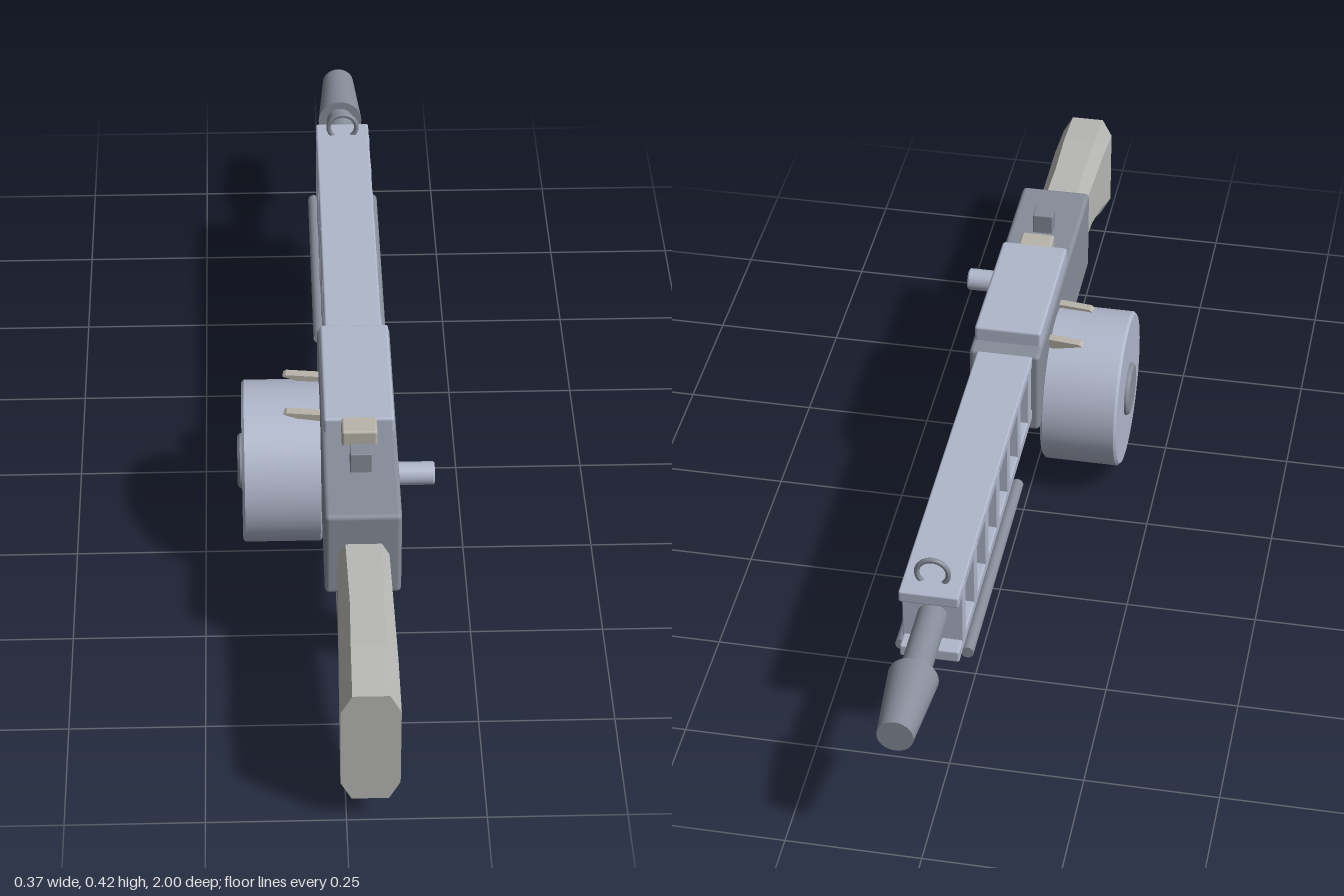
import * as THREE from 'three';
import { RoundedBoxGeometry } from 'three/addons/geometries/RoundedBoxGeometry.js';

const CX = 0.042; // centre line of the body

export function createModel() {
  const model = new THREE.Group();
  const mat = (name, color, extra = {}) => {
    const m = new THREE.MeshStandardMaterial({ color, ...extra });
    m.name = name;
    return m;
  };
  const light = mat('light steel', 0xb0b7cb);
  const dark = mat('dark steel', 0x868c99);
  const grey = mat('stock grey', 0xb8b8b6, { flatShading: true });
  const warm = mat('warm grey', 0xb8b4aa);

  const add = (name, geo, material, x, y, z) => {
    const m = new THREE.Mesh(geo, material);
    m.name = name;
    m.position.set(x, y, z);
    model.add(m);
    return m;
  };
  // Box given by its limits on each axis
  const box = (name, material, x0, x1, y0, y1, z0, z1, r = 0.004) =>
    add(name, new RoundedBoxGeometry(x1 - x0, y1 - y0, z1 - z0, 2, r), material,
      (x0 + x1) / 2, (y0 + y1) / 2, (z0 + z1) / 2);
  // Cylinder lying along z
  const rodZ = (name, material, rFront, rBack, x, y, z0, z1, seg = 32) =>
    add(name, new THREE.CylinderGeometry(rFront, rBack, z1 - z0, seg).rotateX(Math.PI / 2),
      material, x, y, (z0 + z1) / 2);
  // Cylinder along x with a small bevel at both rims
  const discX = (name, material, r, x0, x1, y, z, b = 0.005) => {
    const h = x1 - x0;
    const rings = [[[0, 0], [r - b, 0]], [[r - b, 0], [r, b]], [[r, b], [r, h - b]],
      [[r, h - b], [r - b, h]], [[r - b, h], [0, h]]];
    for (const p of rings) {
      const g = new THREE.LatheGeometry(p.map(q => new THREE.Vector2(...q)), 48);
      add(name, g.rotateZ(-Math.PI / 2), material, x0, y, z);
    }
  };

  // Receiver, top cover and sights
  box('receiver', dark, CX - 0.07, CX + 0.07, 0.188, 0.369, 0.02, 0.604, 0.009);
  box('topCover', light, CX - 0.066, CX + 0.066, 0.36, 0.4, 0.055, 0.355, 0.006);
  box('coverLatch', warm, CX - 0.033, CX + 0.033, 0.365, 0.4, 0.345, 0.395, 0.005);
  box('rearSight', dark, CX - 0.02, CX + 0.02, 0.36, 0.41, 0.441, 0.475, 0.002);
  discX('boltHandle', light, 0.022, 0.1, 0.183, 0.284, 0.373, 0.003);

  // Barrel and flared muzzle
  rodZ('barrel', dark, 0.028, 0.028, CX, 0.29, -0.86, 0.03);
  rodZ('muzzle', dark, 0.046, 0.033, CX, 0.288, -1, -0.845);

  // Barrel shroud: top and bottom plates joined by upright dividers
  box('shroudTop', light, CX - 0.055, CX + 0.055, 0.342, 0.366, -0.711, 0.03);
  box('shroudBottom', light, CX - 0.055, CX + 0.055, 0.214, 0.239, -0.711, 0.03);
  for (let i = 0; i < 7; i++) {
    const z = -0.01 - i * 0.109;
    box('shroudDivider', light, CX - 0.056, CX + 0.056, 0.22, 0.36, z - 0.013, z + 0.013, 0.002);
  }
  for (const s of [-1, 1])
    rodZ('sideRod', dark, 0.012, 0.012, CX + s * 0.061, 0.203, -0.668, -0.17, 16);
  add('frontSight', new THREE.TorusGeometry(0.029, 0.005, 10, 32), dark, CX, 0.384, -0.67);

  // Drum magazine with hub and two clips
  discX('drum', light, 0.156, -0.177, -0.024, 0.182, 0.197);
  discX('drumHub', dark, 0.053, -0.186, -0.014, 0.182, 0.197);
  const clip = new THREE.Shape([[-0.096, 0.334], [-0.024, 0.314], [-0.024, 0.338], [-0.09, 0.338]]
    .map(p => new THREE.Vector2(...p)));
  for (const z of [0.118, 0.238]) {
    const geo = new THREE.ExtrudeGeometry(clip, { depth: 0.018, bevelEnabled: false });
    add('drumClip', geo, warm, 0, 0, z).rotation.y = -0.12;
    model.children.at(-1).position.z += 0.008;
  }

  // Pistol grip and trigger
  const grip = add('grip', new RoundedBoxGeometry(0.071, 0.215, 0.094, 2, 0.008), warm,
    CX, 0.114, 0.536);
  grip.rotation.x = 0.245;
  add('trigger', new THREE.SphereGeometry(0.009, 16, 10), dark, CX, 0.182, 0.466);

  // Stock: chamfered cross-sections [z, bottom, top, half width, chamfer x, chamfer y]
  const sections = [
    [0.614, 0.168, 0.314, 0.047, 0.014, 0.025],
    [0.767, 0.149, 0.311, 0.05, 0.02, 0.032],
    [0.885, 0.106, 0.309, 0.052, 0.02, 0.036],
    [1.0, 0.052, 0.293, 0.053, 0.02, 0.038],
  ];
  const pos = [], idx = [];
  for (const [z, b, t, w, cx, cy] of sections) {
    const ring = [[w - cx, b], [w, b + cy], [w, t - cy], [w - cx, t],
      [cx - w, t], [-w, t - cy], [-w, b + cy], [cx - w, b]];
    for (const [x, y] of ring) pos.push(CX + x, y, z);
  }
  const last = (sections.length - 1) * 8;
  for (let s = 0; s < last; s += 8)
    for (let i = 0; i < 8; i++) {
      const a = s + i, b = s + (i + 1) % 8;
      idx.push(a, b, b + 8, a, b + 8, a + 8);
    }
  for (let i = 1; i < 7; i++) {
    idx.push(0, i + 1, i);
    idx.push(last, last + i, last + i + 1);
  }
  const stock = new THREE.BufferGeometry();
  stock.setAttribute('position', new THREE.Float32BufferAttribute(pos, 3));
  stock.setIndex(idx);
  stock.computeVertexNormals();
  add('stock', stock, grey, 0, 0, 0);

  return model;
}
